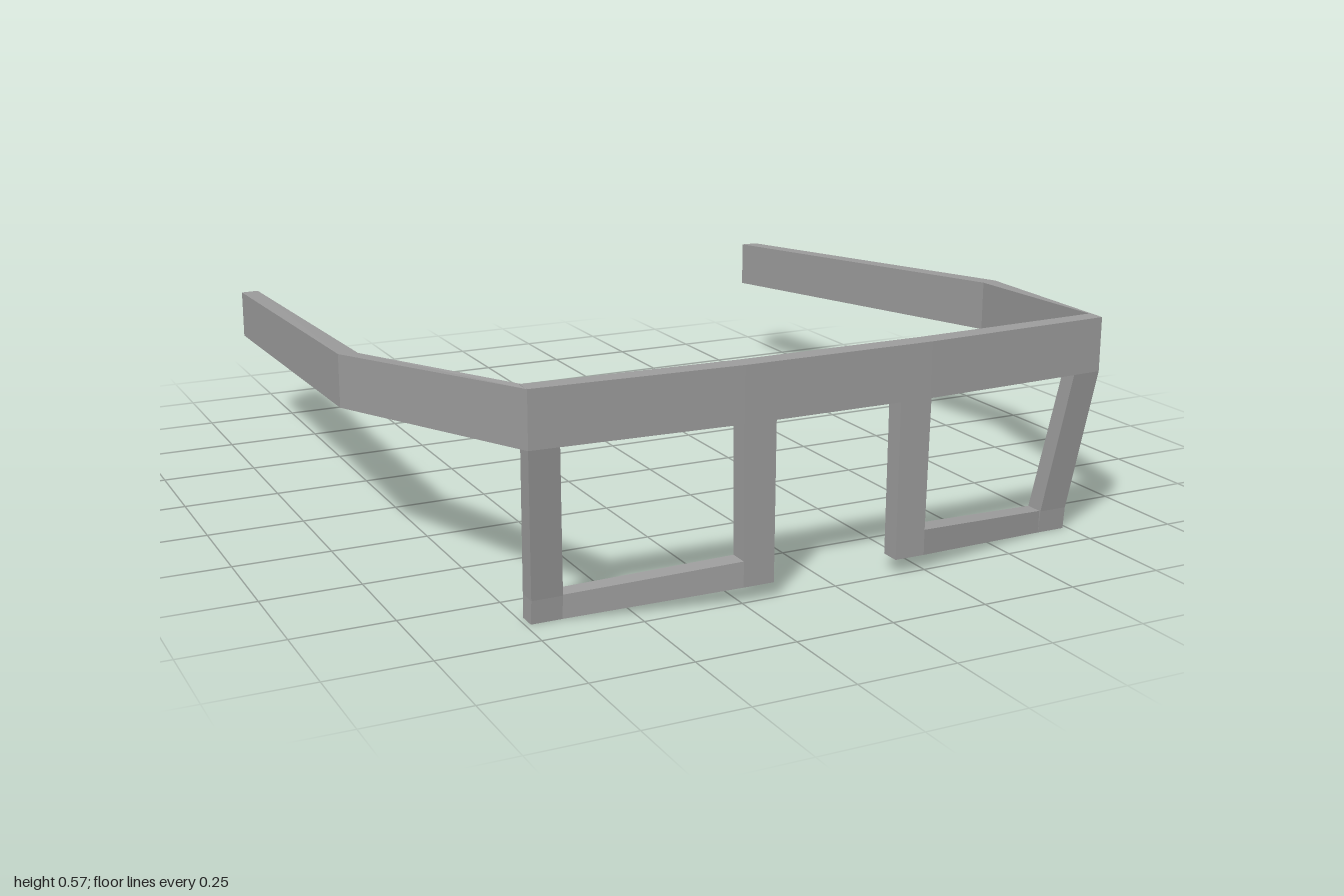
import * as THREE from 'three';

const material = new THREE.MeshStandardMaterial({ color: 0x9c9c9c, flatShading: true });

// Solid through a row of four-cornered sections, capped at both ends.
// side = -1 mirrors it in x and turns the faces back outward.
function loft(name, sections, side) {
  const pos = [];
  const tri = (a, b, c) => {
    for (const p of [a, b, c]) pos.push(p[0] * side, p[1], p[2]);
  };
  const quad = (a, b, c, d) => { tri(a, b, c); tri(a, c, d); };
  for (let i = 0; i < sections.length - 1; i++) {
    const s = sections[i], t = sections[i + 1];
    for (let k = 0; k < 4; k++) {
      const n = (k + 1) % 4;
      quad(s[k], s[n], t[n], t[k]);
    }
  }
  const first = sections[0], last = sections[sections.length - 1];
  quad(first[3], first[2], first[1], first[0]);
  quad(...last);

  // A negative signed volume means the faces point inward
  let volume = 0;
  const v = i => new THREE.Vector3(pos[i], pos[i + 1], pos[i + 2]);
  for (let i = 0; i < pos.length; i += 9) volume += v(i).dot(v(i + 3).cross(v(i + 6)));
  if (volume < 0) {
    for (let i = 0; i < pos.length; i += 9) {
      for (let k = 0; k < 3; k++) {
        [pos[i + 3 + k], pos[i + 6 + k]] = [pos[i + 6 + k], pos[i + 3 + k]];
      }
    }
  }
  const geometry = new THREE.BufferGeometry();
  geometry.setAttribute('position', new THREE.Float32BufferAttribute(pos, 3));
  geometry.computeVertexNormals();
  const mesh = new THREE.Mesh(geometry, material);
  mesh.name = name;
  return mesh;
}

// Upright section: back corner (xb, zb), front corner (xf, zf), from y0 to y1
const upright = (xb, zb, xf, zf, y0, y1) =>
  [[xb, y0, zb], [xf, y0, zf], [xf, y1, zf], [xb, y1, zb]];
// Level section across a post at height y
const level = (x0, x1, y, zb, zf) =>
  [[x0, y, zb], [x1, y, zb], [x1, y, zf], [x0, y, zf]];
// Cross-section of the brow bar
const bar = (x, zb, zf) => upright(x, zb, x, zf, 0.43, 0.568);

export function createModel() {
  const group = new THREE.Group();
  group.name = 'glassesFrame';

  for (const [label, side] of [['left', 1], ['right', -1]]) {
    // Half of the brow bar, swept slightly back at its end, with a seam at the middle
    group.add(loft(label + 'BrowBar', [
      bar(0, 0.95, 1), bar(0.25, 0.95, 1), bar(0.765, 0.93, 0.975),
    ], side));

    // Lens rim: nose post, sloping lower bar and leaning outer post
    const rim = new THREE.Group();
    rim.name = label + 'Rim';
    rim.add(
      loft('nosePost', [
        level(0.167, 0.252, 0.43, 0.95, 1),
        level(0.167, 0.247, 0.102, 0.95, 1),
        level(0.167, 0.247, 0.038, 0.95, 1),
      ], side),
      loft('lowerBar', [
        upright(0.247, 0.95, 0.247, 1, 0.038, 0.102),
        upright(0.66, 0.86, 0.66, 0.905, 0, 0.058),
      ], side),
      loft('outerPost', [
        level(0.69, 0.765, 0.43, 0.93, 0.975),
        level(0.66, 0.737, 0.058, 0.86, 0.91),
        level(0.66, 0.737, 0, 0.86, 0.905),
      ], side),
    );
    group.add(rim);

    // Temple arm: flares outward, then runs back and down
    group.add(loft(label + 'Arm', [
      upright(0.76, 0.93, 0.765, 0.975, 0.43, 0.568),
      upright(0.918, 0.27, 0.965, 0.26, 0.368, 0.503),
      upright(0.837, -1, 0.886, -0.997, 0.263, 0.397),
    ], side));
  }
  return group;
}
